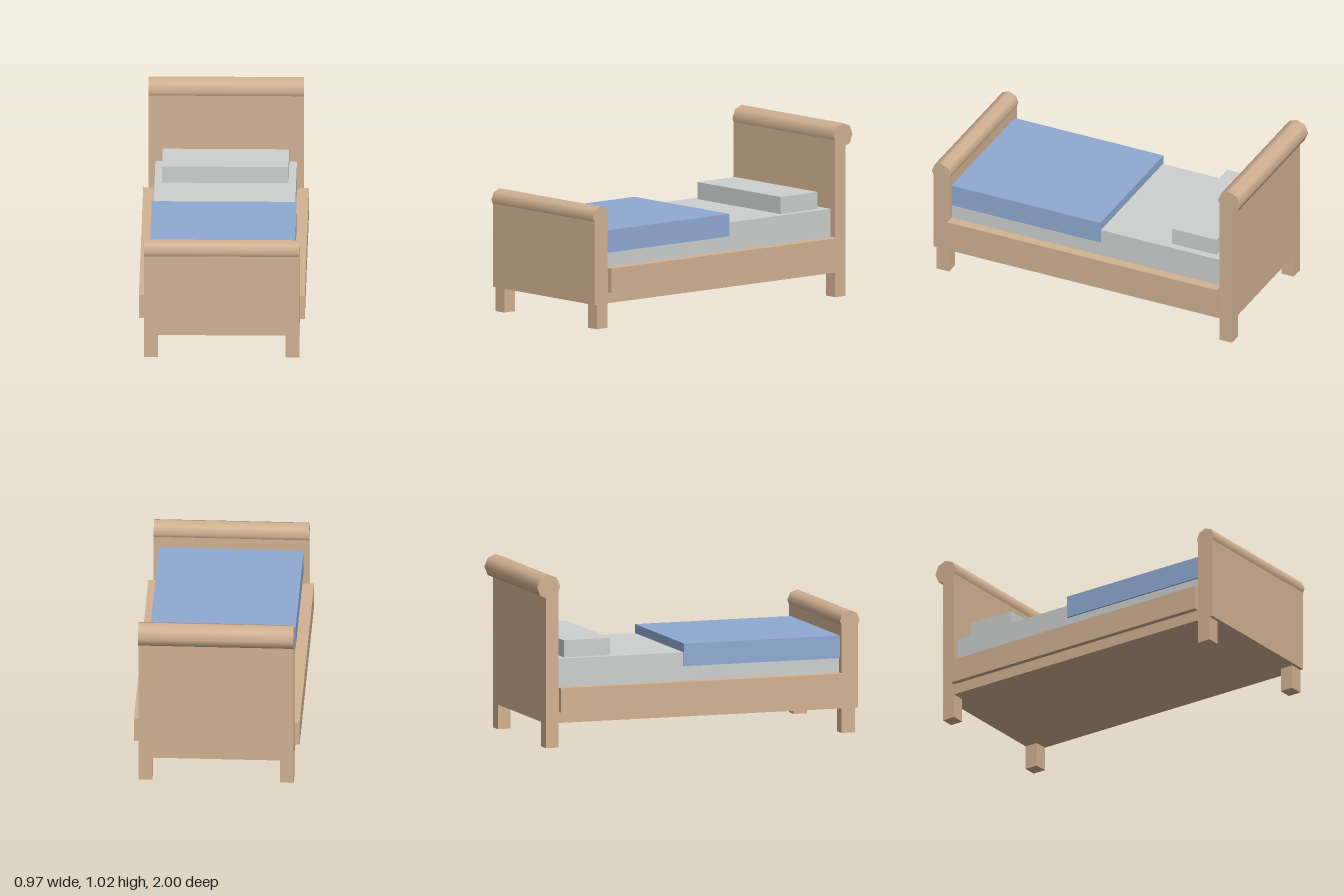
import * as THREE from 'three';

export function createModel() {
  const bed = new THREE.Group();
  bed.name = 'bed';

  const mat = (name, color) => {
    const m = new THREE.MeshStandardMaterial({ color });
    m.name = name;
    return m;
  };
  const wood = mat('lightWood', 0xd2b293);
  const linen = mat('greyLinen', 0xcdd0ce);
  const blue = mat('blueBlanket', 0x90aad3);

  const add = (name, geometry, material) => {
    const mesh = new THREE.Mesh(geometry, material);
    mesh.name = name;
    bed.add(mesh);
    return mesh;
  };

  // Box given by its extents on each axis
  const box = (name, material, [x0, x1], [y0, y1], [z0, z1]) =>
    add(name, new THREE.BoxGeometry(x1 - x0, y1 - y0, z1 - z0), material)
      .position.set((x0 + x1) / 2, (y0 + y1) / 2, (z0 + z1) / 2);

  // Eight-sided rail lying across the top of a board
  const roll = (name, radius, y, z) =>
    add(name, new THREE.CylinderGeometry(radius, radius, 0.906, 8).rotateZ(Math.PI / 2), wood)
      .position.set(0, y, z);

  const W = 0.453;    // half width of the frame
  const HEAD = -0.866; // inner face of headboard
  const FOOT = 0.888;  // inner face of footboard

  // Boards and their rolled tops
  box('headboard', wood, [-W, W], [0.145, 0.95], [-0.946, HEAD]);
  roll('headboardRoll', 0.072, 0.95, -0.928);
  box('footboard', wood, [-W, W], [0.145, 0.66], [FOOT, 0.99]);
  roll('footboardRoll', 0.061, 0.661, 0.939);

  // Base
  box('base', wood, [-W, W], [0.145, 0.345], [HEAD, FOOT]);

  // Legs and side rails, mirrored
  for (const [side, s] of [['left', 1], ['right', -1]]) {
    const span = (a, b) => (s > 0 ? [a, b] : [-b, -a]);
    box(side + 'FrontLeg', wood, span(0.372, W), [0, 0.145], [FOOT, 0.97]);
    box(side + 'BackLeg', wood, span(0.372, W), [0, 0.145], [-0.946, HEAD]);
    box(side + 'Rail', wood, span(0.425, 0.484), [0.21, 0.353], [-0.864, 0.886]);
  }

  // Bedding
  box('mattress', linen, [-0.413, 0.413], [0.345, 0.517], [HEAD, FOOT]);
  box('pillow', linen, [-0.369, 0.369], [0.517, 0.618], [-0.804, -0.516]);
  box('blanket', blue, [-0.423, 0.423], [0.437, 0.57], [-0.077, FOOT]);

  return bed;
}
